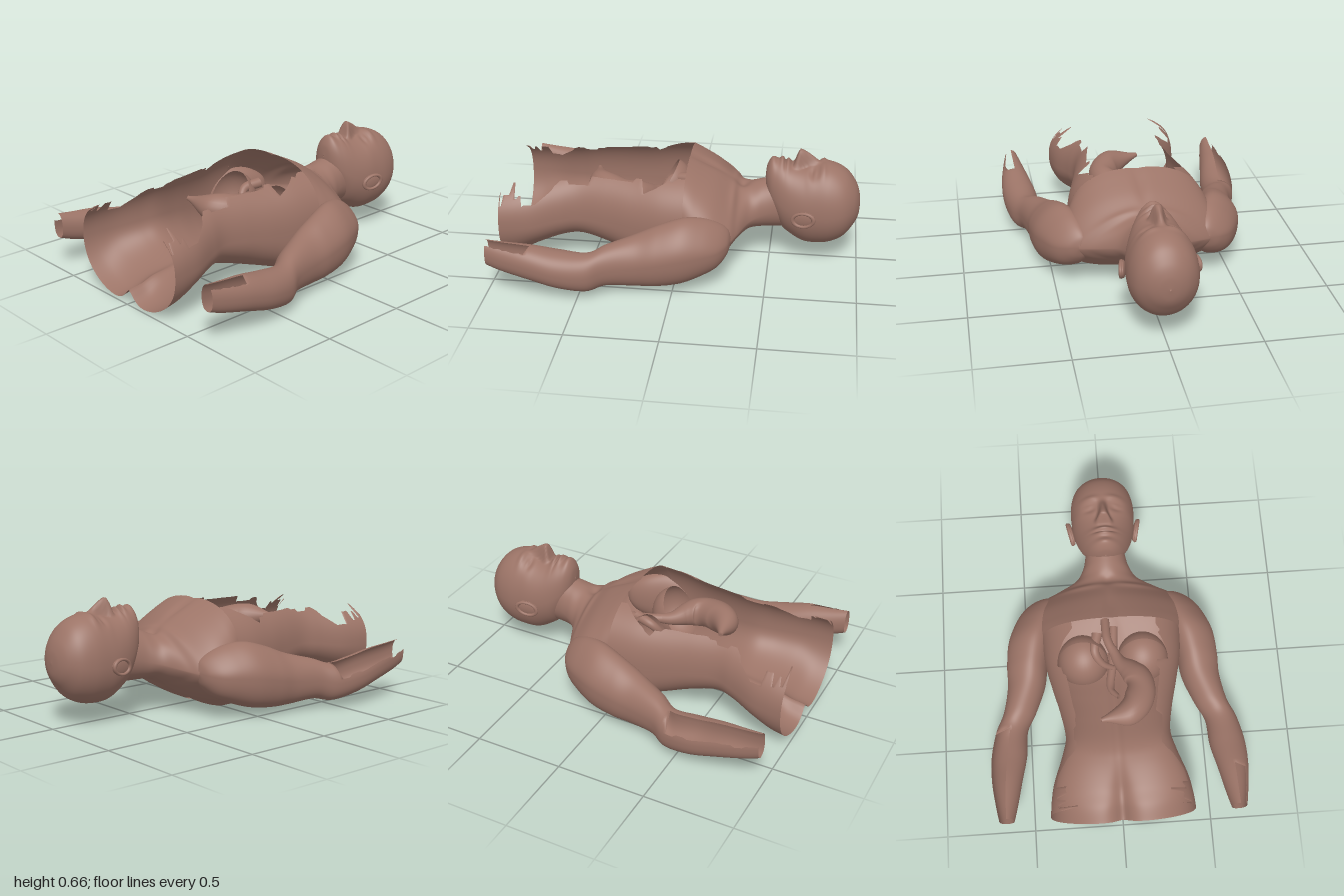
import * as THREE from 'three';
import { mergeVertices } from 'three/addons/utils/BufferGeometryUtils.js';

const skin = new THREE.MeshStandardMaterial({ color: 0x9c7467, side: THREE.DoubleSide });
skin.name = 'skin';

const { smoothstep, clamp } = THREE.MathUtils;
const hash = (i) => { const v = Math.sin(i * 12.9898 + 4.1) * 43758.5453; return v - Math.floor(v); };
const spow = (v, p) => Math.sign(v) * Math.pow(Math.abs(v), p);
const gauss = (x, z, x0, z0, sx, sz) => Math.exp(-(((x - x0) / sx) ** 2) - ((z - z0) / sz) ** 2);

// Smooth interpolation through a table of section rows
function sample(rows, t) {
  const i = Math.min(Math.floor(t), rows.length - 2), f = t - i;
  const at = (k) => rows[Math.max(0, Math.min(rows.length - 1, k))];
  return rows[i].map((_, c) => {
    const a = at(i - 1)[c], b = at(i)[c], d = at(i + 1)[c], e = at(i + 2)[c];
    const m0 = (d - a) / 2, m1 = (e - b) / 2;
    return (2 * b - 2 * d + m0 + m1) * f ** 3 + (3 * d - 3 * b - 2 * m0 - m1) * f * f + m0 * f + b;
  });
}

// Grid surface from a point rule
function surface(name, nu, nv, rule) {
  const pos = [], index = [];
  for (let j = 0; j <= nv; j++) for (let i = 0; i <= nu; i++) pos.push(...rule(i / nu, j / nv, j));
  for (let j = 0; j < nv; j++) for (let i = 0; i < nu; i++) {
    const a = j * (nu + 1) + i, b = a + nu + 1;
    index.push(a, a + 1, b, a + 1, b + 1, b);
  }
  let g = new THREE.BufferGeometry();
  g.setAttribute('position', new THREE.Float32BufferAttribute(pos, 3));
  g.setIndex(index);
  g = mergeVertices(g, 1e-5);
  g.computeVertexNormals();
  const mesh = new THREE.Mesh(g, skin);
  mesh.name = name;
  return mesh;
}

// Loft along z. Row: z, centre x, half width, bottom y, top y, middle y, front and back roundness.
// range(row, j) gives the part of the ring kept: 0 is the back, -1 and 1 meet at the front.
function loft(name, rows, { around = 64, steps = 7, range = () => [-1, 1], shape = () => 0 } = {}) {
  return surface(name, around, (rows.length - 1) * steps, (u, v, j) => {
    const row = sample(rows, v * (rows.length - 1));
    const [z, cx, w, yb, yt, ym, nf, nb] = row;
    const a = clamp(u * 2 - 1, ...range(row, j)) * Math.PI, c = -Math.cos(a), n = c > 0 ? nf : nb;
    const x = w * spow(Math.sin(a), 2 / n);
    const y = ym + spow(c, 2 / n) * (c > 0 ? yt - ym : ym - yb);
    return [cx + x, y + shape(x, z, c), z];
  });
}

// Round tube with a changing radius
function organ(name, points, radii) {
  const curve = new THREE.CatmullRomCurve3(points.map((p) => new THREE.Vector3(...p)));
  const n = 48, frames = curve.computeFrenetFrames(n, false), rows = radii.map((r) => [r]);
  return surface(name, 24, n, (u, v, j) => {
    const r = sample(rows, v * (rows.length - 1))[0], a = u * Math.PI * 2;
    return curve.getPoint(v).addScaledVector(frames.normals[j], r * Math.cos(a))
      .addScaledVector(frames.binormals[j], r * Math.sin(a)).toArray();
  });
}

function part(name, geo, p, s) {
  const mesh = new THREE.Mesh(geo, skin);
  mesh.name = name;
  mesh.position.set(...p);
  mesh.scale.set(...s);
  return mesh;
}

export function createModel() {
  const g = new THREE.Group();
  g.name = 'anatomicalTorso';

  // Head with sculpted face
  g.add(loft('head', [
    [-1, 0, 0.004, 0.355, 0.365, 0.36],
    [-0.992, 0, 0.06, 0.29, 0.43, 0.36],
    [-0.965, 0, 0.115, 0.235, 0.495, 0.36],
    [-0.91, 0, 0.163, 0.165, 0.56, 0.35],
    [-0.83, 0, 0.185, 0.125, 0.597, 0.34],
    [-0.74, 0, 0.184, 0.115, 0.602, 0.34],
    [-0.68, 0, 0.178, 0.125, 0.582, 0.35],
    [-0.62, 0, 0.163, 0.16, 0.585, 0.36],
    [-0.57, 0, 0.143, 0.2, 0.6, 0.38],
    [-0.53, 0, 0.12, 0.27, 0.605, 0.41],
    [-0.495, 0, 0.09, 0.35, 0.602, 0.45],
    [-0.472, 0, 0.05, 0.42, 0.565, 0.49],
    [-0.465, 0, 0.004, 0.495, 0.505, 0.5],
  ].map((r) => [...r, 2.1, 2]), {
    around: 140, steps: 9,
    shape: (x, z, c) => {
      if (c < 0) return 0;
      const ax = Math.abs(x);
      const nose = smoothstep(z, -0.78, -0.655) * (1 - smoothstep(z, -0.655, -0.615));
      const h = 0.092 * nose * Math.exp(-((x / (0.02 + 0.012 * smoothstep(z, -0.72, -0.65))) ** 4))
        + 0.03 * gauss(ax, z, 0.034, -0.64, 0.013, 0.016)
        - 0.028 * gauss(ax, z, 0.075, -0.735, 0.04, 0.025)
        + 0.016 * gauss(ax, z, 0.078, -0.74, 0.028, 0.013)
        + 0.012 * gauss(ax, z, 0.07, -0.785, 0.05, 0.016)
        + 0.022 * gauss(x, z, 0, -0.59, 0.05, 0.013)
        + 0.022 * gauss(x, z, 0, -0.556, 0.045, 0.013)
        - 0.012 * gauss(x, z, 0, -0.574, 0.06, 0.006)
        + 0.014 * gauss(x, z, 0, -0.505, 0.05, 0.022);
      return h * Math.min(1, c * 2);
    },
  }));

  // Neck, shoulders and closed upper chest
  g.add(loft('neckAndChest', [
    [-0.6, 0, 0.11, 0.205, 0.49, 0.33, 2, 2],
    [-0.52, 0, 0.118, 0.2, 0.49, 0.33, 2, 2],
    [-0.45, 0, 0.138, 0.198, 0.475, 0.31, 1.9, 1.9],
    [-0.385, 0, 0.19, 0.19, 0.46, 0.29, 1.6, 1.6],
    [-0.33, 0, 0.31, 0.168, 0.46, 0.27, 1.4, 1.5],
    [-0.285, 0, 0.395, 0.145, 0.48, 0.26, 1.5, 1.9],
    [-0.2, 0, 0.44, 0.09, 0.535, 0.26, 1.8, 2.6],
    [-0.1, 0, 0.425, 0.035, 0.585, 0.27, 2.2, 3.2],
    [-0.04, 0, 0.4, 0.008, 0.612, 0.28, 2.5, 3.3],
  ], {
    around: 120,
    shape: (x, z, c) => c > 0
      ? -0.014 * gauss(x, z, 0, -0.14, 0.03, 0.12) - 0.025 * gauss(x, z, 0, -0.34, 0.04, 0.04)
        + 0.012 * gauss(Math.abs(x), z, 0.15, -0.3, 0.12, 0.02)
      : 0.015 * gauss(x, z, 0, -0.1, 0.04, 0.2),
  }));

  // Open trunk: back, flanks and buttocks, with the front torn away in steps
  const edge = ([z, , , , yt, ym, n], j, left) => {
    const tear = hash(Math.floor(j / (z > 0.85 ? 2 : 6)) + (left ? 50 : 90)) - 0.5;
    const y = (z < 0.19 ? 0.575 - 0.5 * Math.max(0, z) : z < 0.5 ? (left ? 0.54 : 0.51)
      : z < 0.66 ? 0.5 : Math.max(0.4, 0.5 - (z - 0.66) * 0.75))
      + (z > 0.85 ? 0.04 + 0.11 * tear : 0.02 * tear);
    return Math.acos(-(((y - ym) / (yt - ym)) ** (n / 2))) / Math.PI;
  };
  g.add(loft('openTrunk', [
    [-0.04, 0, 0.4, 0.008, 0.612, 0.28, 2.5, 3.3],
    [0.1, 0, 0.385, 0.012, 0.607, 0.28, 2.5, 3.2],
    [0.25, 0, 0.352, 0.052, 0.6, 0.29, 2.4, 2.7],
    [0.4, 0, 0.315, 0.095, 0.6, 0.3, 2.4, 2.3],
    [0.55, 0, 0.292, 0.135, 0.59, 0.31, 2.4, 2.2],
    [0.66, 0, 0.318, 0.13, 0.57, 0.3, 2.4, 2.2],
    [0.8, 0, 0.37, 0.08, 0.55, 0.28, 2.4, 2.2],
    [0.9, 0, 0.39, 0.02, 0.54, 0.28, 2.4, 2.2],
    [0.985, 0, 0.398, -0.005, 0.53, 0.28, 2.4, 2.2],
  ], {
    around: 200, steps: 9,
    range: (row, j) => [-edge(row, j, false), edge(row, j, true)],
    shape: (x, z, c) => c > 0 ? 0
      : 0.02 * gauss(x, z, 0, 0.3, 0.03, 0.4)
        + 0.12 * smoothstep(z, 0.64, 0.98) * Math.exp(-Math.hypot(x, 0.015) / 0.05),
  }));

  // Arms, each with the forearm partly cut away
  const armRows = [
    [-0.305, 0.365, 0.005, 0.26, 0.28],
    [-0.288, 0.375, 0.06, 0.2, 0.325],
    [-0.24, 0.4, 0.1, 0.14, 0.365],
    [-0.16, 0.43, 0.122, 0.1, 0.4],
    [-0.05, 0.468, 0.127, 0.065, 0.415],
    [0.08, 0.493, 0.117, 0.05, 0.38],
    [0.2, 0.505, 0.107, 0.05, 0.335],
    [0.35, 0.55, 0.092, 0.065, 0.295],
    [0.45, 0.6, 0.09, 0.05, 0.262],
    [0.6, 0.62, 0.1, 0.075, 0.28],
    [0.75, 0.635, 0.085, 0.12, 0.31],
    [0.9, 0.64, 0.06, 0.16, 0.325],
    [0.985, 0.642, 0.042, 0.19, 0.335],
  ];
  for (const s of [1, -1]) {
    const rows = armRows.map(([z, x, w, b, t]) => [z, s * x, w, b, t, (b + t) / 2, 2.05, 2.4]);
    g.add(loft(s > 0 ? 'leftArm' : 'rightArm', rows, {
      around: 60,
      range: ([z], j) => s > 0
        ? [-1, z > 0.75 ? 0.74 + 0.03 * hash(j) : 1]
        : [z > 0.45 ? -0.62 + 0.08 * hash(Math.floor(j / 3)) : -1, 1],
      // The shoulder slopes down away from the chest
      shape: (x, z, c) => -0.4 * s * x * Math.max(0, c) * (1 - smoothstep(z, 0.05, 0.35)),
    }));

    // Ear: hollow shell with a raised rim
    const ear = new THREE.Group();
    ear.name = s > 0 ? 'leftEar' : 'rightEar';
    ear.add(part('earShell', new THREE.SphereGeometry(1, 24, 16), [0, 0, 0], [0.014, 0.046, 0.068]));
    const rim = part('earRim', new THREE.TorusGeometry(0.85, 0.17, 10, 32), [s * 0.01, 0, 0], [0.07, 0.048, 0.06]);
    rim.rotation.y = Math.PI / 2;
    ear.add(rim);
    ear.position.set(s * 0.188, 0.332, -0.69);
    ear.rotation.set(0.2, -s * 0.22, 0);
    g.add(ear);

    // Diaphragm dome, open toward the belly and tilted up
    const geo = new THREE.SphereGeometry(1, 32, 14, 0, Math.PI * 2, 0, Math.PI * 0.52);
    geo.rotateX(-Math.PI / 2);
    const dome = part('diaphragmDome', geo, [s * 0.17, 0.33, 0.12], [0.145, 0.165, 0.15]);
    dome.rotation.x = -0.5;
    g.add(dome);
  }

  // Stomach, gullet and main vessels
  g.add(organ('stomach',
    [[0.0, 0.38, 0.06], [0.04, 0.38, 0.15], [0.12, 0.4, 0.23], [0.145, 0.41, 0.33], [0.07, 0.43, 0.45], [-0.09, 0.455, 0.5]],
    [0.025, 0.04, 0.075, 0.085, 0.08, 0.012]));
  g.add(organ('gullet', [[-0.03, 0.36, -0.12], [-0.025, 0.38, 0], [0, 0.38, 0.07], [0.02, 0.38, 0.11]], [0.025, 0.025, 0.025, 0.028]));
  g.add(organ('mainVessel', [[0.02, 0.24, -0.12], [0, 0.22, 0.1], [-0.02, 0.23, 0.25], [0.02, 0.28, 0.32]], [0.025, 0.025, 0.022, 0.012]));
  g.add(organ('sideVessel', [[-0.08, 0.42, -0.02], [-0.1, 0.4, 0.08], [-0.06, 0.33, 0.13], [0, 0.27, 0.14]], [0.03, 0.025, 0.02, 0.015]));
  return g;
}
